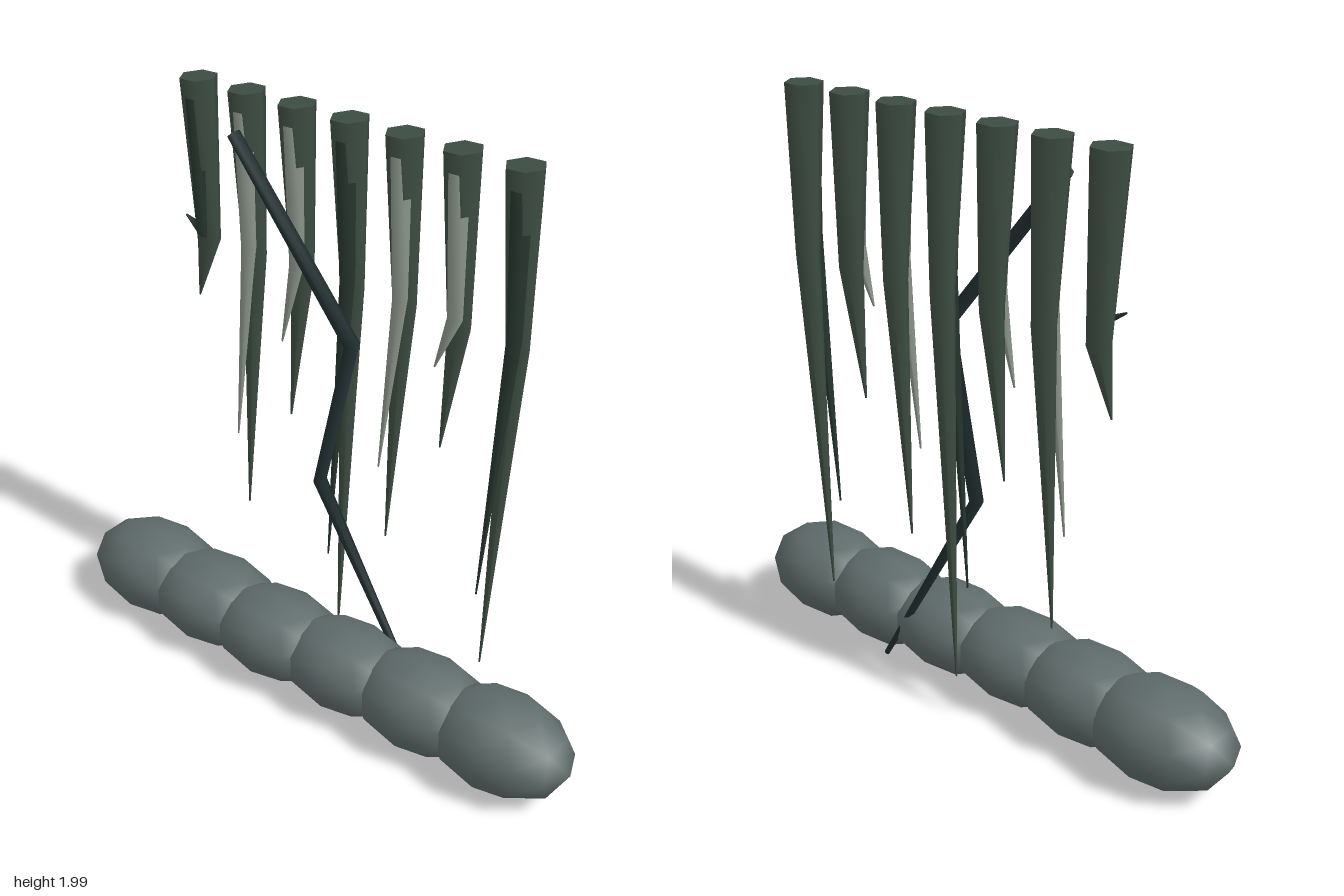
import * as THREE from 'three';

const material = (name, color) => new THREE.MeshStandardMaterial({ name, color });

// Tapered six-sided strand through points [x, y, z, radius]; hexagon corners point along x
function taper(points, sides = 6) {
  const p = points.map(([x, y, z]) => new THREE.Vector3(x, y, z));
  const down = new THREE.Vector3(0, -1, 0);
  const pos = [], index = [];
  const n = p.length;
  const ring = (i) => {
    const t = new THREE.Vector3();
    if (i > 0) t.add(p[i].clone().sub(p[i - 1]).normalize());
    if (i < n - 1) t.add(p[i + 1].clone().sub(p[i]).normalize());
    const q = new THREE.Quaternion().setFromUnitVectors(down, t.normalize());
    for (let k = 0; k < sides; k++) {
      const a = (k / sides) * Math.PI * 2, r = points[i][3];
      const v = new THREE.Vector3(Math.cos(a) * r, 0, Math.sin(a) * r).applyQuaternion(q).add(p[i]);
      pos.push(v.x, v.y, v.z);
    }
  };
  for (let i = 0; i < n; i++) ring(i);
  for (let i = 0; i < n - 1; i++) {
    for (let k = 0; k < sides; k++) {
      const a = i * sides + k, b = i * sides + ((k + 1) % sides);
      index.push(a, b, a + sides, b, b + sides, a + sides);
    }
  }
  // Caps use their own corners so their edges stay sharp
  const top = n * sides;
  ring(0);
  ring(n - 1);
  for (let k = 1; k < sides - 1; k++) {
    index.push(top, top + k + 1, top + k);
    index.push(top + sides, top + sides + k, top + sides + k + 1);
  }
  const g = new THREE.BufferGeometry();
  g.setAttribute('position', new THREE.Float32BufferAttribute(pos, 3));
  g.setIndex(index);
  g.computeVertexNormals();
  return g;
}

export function createModel() {
  const model = new THREE.Group();
  model.name = 'hangingStrandsOverStones';
  const stone = material('stoneGrey', 0x5f6c6b);
  const moss = material('mossGreen', 0x3d4d42);
  const pale = material('paleGreen', 0x8b958a);
  const dark = material('darkGreen', 0x26352e);
  const bark = material('darkBark', 0x1f2d2f);

  const add = (name, geometry, mat, parent = model) => {
    const mesh = new THREE.Mesh(geometry, mat);
    mesh.name = name;
    parent.add(mesh);
    return mesh;
  };

  // Row of overlapping stones: x, z, half sizes x, y, z
  const stones = [
    [-0.735, 0.013, 0.265, 0.162, 0.185],
    [-0.445, 0.025, 0.26, 0.152, 0.182],
    [-0.145, 0.035, 0.26, 0.148, 0.178],
    [0.15, 0.028, 0.26, 0.15, 0.172],
    [0.45, 0.02, 0.26, 0.16, 0.176],
    [0.745, 0.015, 0.255, 0.163, 0.178],
  ];
  const stoneRow = new THREE.Group();
  stoneRow.name = 'stoneRow';
  model.add(stoneRow);
  stones.forEach(([x, z, sx, sy, sz]) => {
    const mesh = add('stone', new THREE.IcosahedronGeometry(1, 1), stone, stoneRow);
    mesh.position.set(x, 0.17, z);
    mesh.scale.set(sx, sy, sz);
  });

  // Hanging strands: top x, main tip x and y, side tip x and y, side colour
  const strands = [
    [-0.595, -0.63, 1.24, -0.635, 1.54, dark],
    [-0.4, -0.435, 0.49, -0.44, 0.79, pale],
    [-0.205, -0.24, 0.92, -0.24, 1.21, pale],
    [-0.01, -0.037, 0.14, -0.05, 0.46, dark],
    [0.185, 0.155, 0.6, 0.15, 0.89, pale],
    [0.38, 0.35, 1.02, 0.345, 1.32, pale],
    [0.58, 0.545, 0.27, 0.54, 0.57, dark],
  ];
  strands.forEach(([x, tipX, tipY, sideX, sideY, sideMat]) => {
    const strand = new THREE.Group();
    strand.name = 'strand';
    model.add(strand);
    add('mainStrand', taper([
      [x, 1.995, -0.158, 0.061], [x + 0.017, 1.45, -0.16, 0.039], [tipX, tipY, -0.16, 0.003],
    ]), moss, strand);
    add('sideStrand', taper([
      [x + 0.005, 1.95, -0.139, 0.036], [x + 0.027, 1.5, -0.12, 0.026], [sideX, sideY, -0.118, 0.003],
    ]), sideMat, strand);
  });

  // Zigzag branch
  add('branch', taper([
    [-0.39, 1.88, -0.082, 0.022], [0.075, 1.32, -0.07, 0.027],
    [-0.065, 0.765, -0.092, 0.024], [0.345, 0.04, -0.105, 0.01],
  ]), bark);

  return model;
}
